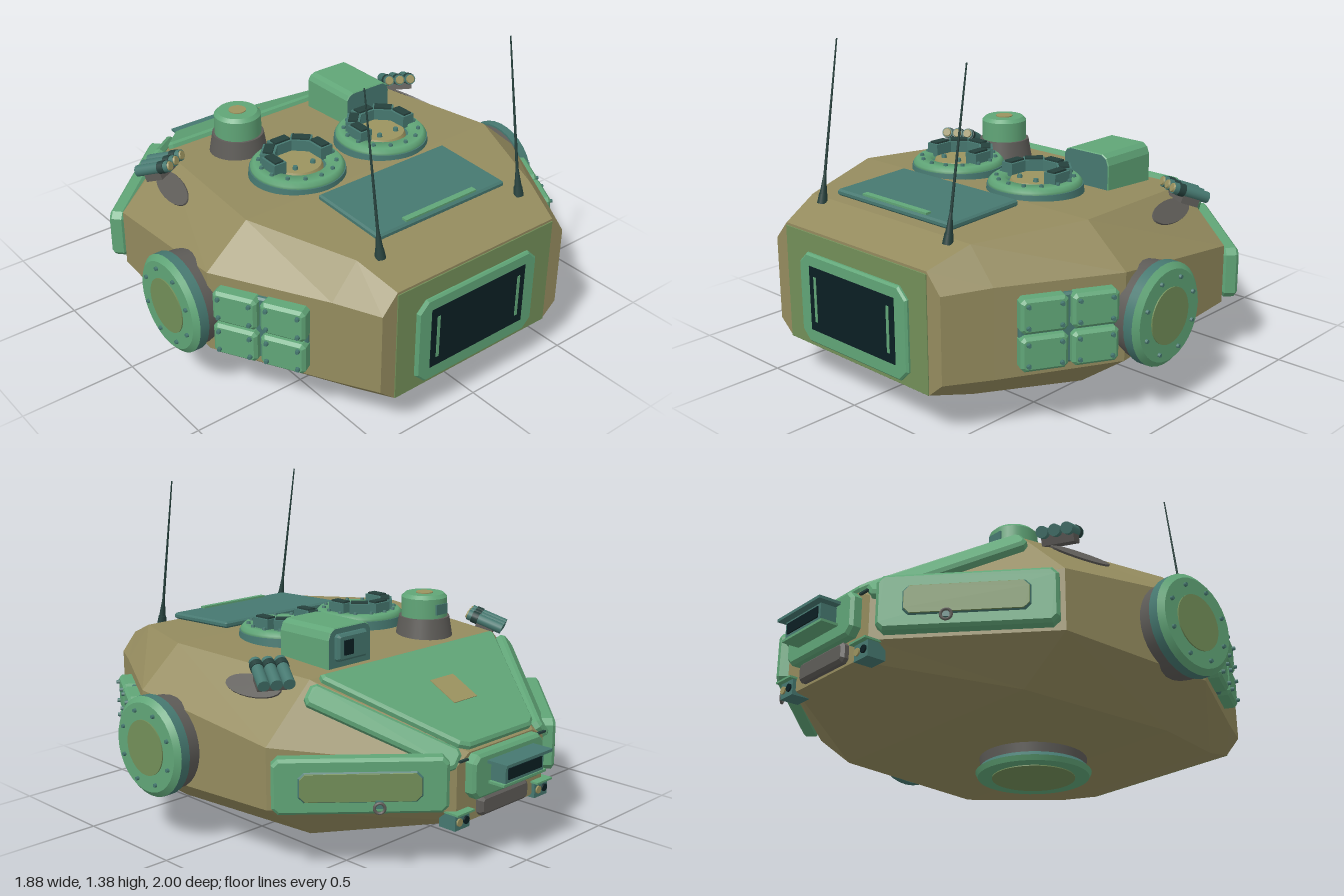
import * as THREE from 'three';

const mat = (name, color) => {
  const m = new THREE.MeshStandardMaterial({ color });
  m.name = name;
  return m;
};

export function createModel() {
  const root = new THREE.Group();
  root.name = 'turret';
  const tan = mat('tan', 0x948b5e), green = mat('green', 0x60a577), teal = mat('teal', 0x467870);
  const grey = mat('grey', 0x5e5c58), black = mat('black', 0x0b1f23), olive = mat('olive', 0x728e58);
  const ochre = mat('ochre', 0x9b935f), dark = mat('darkGreen', 0x25403c);
  const V = (x, y, z) => new THREE.Vector3(x, y, z);

  // A group whose local z is the surface normal and local y follows "up"
  function frame(name, pos, normal, up = V(0, 1, 0), parent = root) {
    const n = normal.clone().normalize();
    const x = up.clone().cross(n).normalize();
    const g = new THREE.Group();
    g.quaternion.setFromRotationMatrix(new THREE.Matrix4().makeBasis(x, n.clone().cross(x), n));
    g.position.copy(pos);
    g.name = name;
    parent.add(g);
    return g;
  }
  function add(parent, name, geo, material, x = 0, y = 0, z = 0) {
    const m = new THREE.Mesh(geo, material);
    m.name = name;
    m.position.set(x, y, z);
    parent.add(m);
    return m;
  }
  // Bevelled plate from an outline, back at z = 0 and front at z = t
  function slabGeo(pts, t, b = Math.min(0.012, t * 0.4)) {
    return new THREE.ExtrudeGeometry(new THREE.Shape(pts.map(p => new THREE.Vector2(...p))), {
      depth: t - b, bevelThickness: b, bevelSize: b, bevelOffset: -b, bevelSegments: 1
    });
  }
  function rect(w, h, c) {
    const x = w / 2, y = h / 2;
    return [[x - c, -y], [x, c - y], [x, y - c], [x - c, y], [c - x, y], [-x, y - c], [-x, c - y], [c - x, -y]];
  }
  const slab = (p, name, w, h, t, c, m, x, y, z) => add(p, name, slabGeo(rect(w, h, c), t), m, x, y, z);
  const box = (p, name, w, h, d, m, x, y, z) => add(p, name, new THREE.BoxGeometry(w, h, d), m, x, y, z);
  // Cylinder along local z, from z0 to z1
  function cyl(p, name, r0, r1, z0, z1, m, x = 0, y = 0, seg = 32) {
    const g = new THREE.CylinderGeometry(r1, r0, z1 - z0, seg).rotateX(Math.PI / 2);
    return add(p, name, g, m, x, y, (z0 + z1) / 2);
  }
  function boltRing(p, r, z, n, m) {
    for (let i = 0; i < n; i++) {
      const a = (i + 0.5) / n * Math.PI * 2;
      cyl(p, 'bolt', 0.01, 0.008, z, z + 0.012, m, r * Math.cos(a), r * Math.sin(a), 6);
    }
  }

  // Hull: octagonal sections from front to rear
  // [z, top half-width, top y, side half-width, side top y, side bottom y, bottom half-width, bottom y]
  const sections = [
    [0.975, 0.41, 0.66, 0.48, 0.58, 0.23, 0.41, 0.17],
    [0.8, 0.46, 0.73, 0.576, 0.59, 0.225, 0.46, 0.13],
    [0.35, 0.64, 0.755, 0.83, 0.59, 0.23, 0.62, 0.08],
    [-0.36, 0.56, 0.72, 0.79, 0.5, 0.25, 0.56, 0.09],
    [-0.86, 0.2, 0.46, 0.27, 0.42, 0.24, 0.2, 0.18]
  ].map(([z, t, yt, m, ym, yb, b, y0]) => [
    [t, yt, z], [-t, yt, z], [-m, ym, z], [-m, yb, z], [-b, y0, z], [b, y0, z], [m, yb, z], [m, ym, z]]);
  const pos = [];
  const tri = (...v) => v.forEach(p => pos.push(...p));
  for (let k = 0; k < sections.length - 1; k++) {
    const A = sections[k], B = sections[k + 1];
    for (let i = 0; i < 8; i++) {
      const j = (i + 1) % 8;
      tri(A[i], B[i], A[j]);
      tri(A[j], B[i], B[j]);
    }
  }
  const F = sections[0], R = sections[4];
  for (let i = 1; i < 7; i++) {
    tri(F[0], F[i], F[i + 1]);
    tri(R[0], R[i + 1], R[i]);
  }
  const hullGeo = new THREE.BufferGeometry();
  hullGeo.setAttribute('position', new THREE.Float32BufferAttribute(pos, 3));
  hullGeo.computeVertexNormals();
  add(root, 'hull', hullGeo, tan);

  // Front mantlet opening
  const front = frame('frontPlate', V(0, 0, 0.975), V(0, 0, 1));
  add(front, 'frontPaint', slabGeo([[-0.41, 0.17], [0.41, 0.17], [0.41, 0.65], [-0.41, 0.65]], 0.004, 0.001), olive);
  slab(front, 'gunFrame', 0.63, 0.38, 0.02, 0.045, green, 0, 0.38, 0);
  box(front, 'gunOpening', 0.5, 0.27, 0.005, black, 0, 0.385, 0.02);
  for (const s of [-1, 1]) box(front, 'openingBar', 0.014, 0.19, 0.006, green, s * 0.215, 0.385, 0.022);

  // Turret ring underneath
  const up = V(0, 1, 0), back = V(0, 0, -1);
  const ring = frame('turretRing', V(0, 0, 0.195), up, back);
  cyl(ring, 'ringNeck', 0.22, 0.23, 0.03, 0.1, grey, 0, 0, 48);
  cyl(ring, 'ringFlange', 0.235, 0.245, 0.004, 0.025, green, 0, 0, 48);
  cyl(ring, 'ringLip', 0.242, 0.225, 0.025, 0.045, teal, 0, 0, 48);
  cyl(ring, 'ringFloor', 0.175, 0.175, 0, 0.006, olive, 0, 0, 48);

  for (const s of [-1, 1]) {
    // Side drums
    const drum = frame('sideDrum', V(s * 0.82, 0.4, 0.205), V(s, 0, 0));
    cyl(drum, 'drumBase', 0.19, 0.2, -0.06, 0.065, grey);
    cyl(drum, 'drumRim', 0.208, 0.208, 0.05, 0.09, teal);
    cyl(drum, 'drumFace', 0.208, 0.185, 0.09, 0.11, green);
    cyl(drum, 'drumCentre', 0.115, 0.115, 0.1, 0.115, olive);
    boltRing(drum, 0.155, 0.108, 8, teal);

    // Two by two armour boxes on the front flank
    const flank = frame('armourBoxes', V(s * 0.714, 0.405, 0.555), V(s * 0.871, 0, 0.492));
    slab(flank, 'boxMount', 0.38, 0.28, 0.02, 0.02, teal);
    for (const x of [-0.1, 0.1]) for (const y of [-0.075, 0.075]) {
      slab(flank, 'armourBox', 0.185, 0.138, 0.055, 0.015, green, x, y, 0);
      for (const i of [-1, 1]) for (const j of [-1, 1])
        cyl(flank, 'boxBolt', 0.01, 0.008, 0.054, 0.068, teal, x + i * 0.065, y + j * 0.042, 6);
    }

    // Rear flank stowage panel with a tow ring
    const side = frame('rearFlankPanel', V(s * 0.542, 0.365, -0.612), V(s * 0.678, 0, -0.735));
    slab(side, 'panel', 0.67, 0.22, 0.055, 0.025, green);
    slab(side, 'panelRim', 0.48, 0.13, 0.062, 0.025, teal);
    add(side, 'panelInset', slabGeo(rect(0.46, 0.11, 0.022), 0.008, 0.001), olive, 0, 0, 0.058);
    box(side, 'ringMount', 0.03, 0.03, 0.03, teal, s * 0.07, -0.065, 0.06);
    add(side, 'towRing', new THREE.TorusGeometry(0.02, 0.006, 6, 16), grey, s * 0.07, -0.075, 0.082);

    // Strip along the rear shoulder
    const shoulder = frame('rearShoulder', V(s * 0.425, 0.55, -0.615), V(s * 0.492, 0.573, -0.653), V(s * 0.36, 0.26, 0.5));
    slab(shoulder, 'shoulderStrip', 0.095, 0.63, 0.035, 0.02, green);

    // Smoke launchers over a grey patch
    const patch = frame('greyPatch', V(s * 0.663, 0.674, -0.15), V(s * 0.7, 0.7, -0.1));
    add(patch, 'patch', new THREE.CylinderGeometry(1, 1, 0.008, 20).rotateX(Math.PI / 2).scale(0.14, 0.05, 1), grey);
    const rack = frame('smokeLauncher', V(s * 0.655, 0.745, -0.25), V(-s * 0.45, 0.35, 0.82));
    box(rack, 'rackBase', 0.13, 0.04, 0.08, grey, 0, -0.03, -0.01);
    for (const i of [-1, 0, 1]) {
      cyl(rack, 'launchTube', 0.024, 0.024, -0.085, 0.08, teal, i * 0.05, 0, 16);
      cyl(rack, 'tubeCollar', 0.027, 0.027, 0.03, 0.06, dark, i * 0.05, 0, 16);
      cyl(rack, 'tubeCap', 0.02, 0.017, 0.08, 0.087, ochre, i * 0.05, 0, 16);
    }

    // Whip antenna, leaning back
    const whip = frame('antenna', V(s * 0.367, 0.715, 0.825), V(0, 0.66, -0.11), back);
    cyl(whip, 'antennaBase', 0.022, 0.017, 0, 0.04, dark, 0, 0, 12);
    cyl(whip, 'antennaSpring', 0.015, 0.006, 0.04, 0.12, dark, 0, 0, 12);
    cyl(whip, 'antennaRod', 0.006, 0.003, 0.12, 0.67, dark, 0, 0, 8);

    // Rear lamps under the tail
    const lamp = frame('rearLamp', V(s * 0.25, 0.2, -0.8), back);
    box(lamp, 'lampBox', 0.085, 0.065, 0.08, teal, 0, 0, 0.035);
    box(lamp, 'lampHood', 0.1, 0.008, 0.11, green, 0, 0.036, 0.04);
    for (const i of [-1, 1]) cyl(lamp, 'lampLens', 0.016, 0.016, 0.07, 0.082, i < 0 ? ochre : black, i * 0.02, 0, 12);

    // Tail guard bars
    box(root, 'tailBar', 0.05, 0.008, 0.012, dark, s * 0.245, 0.44, -0.87);
  }

  // Rear deck plate
  const deck = frame('rearDeck', V(0, 0.59, -0.61), V(0, 0.887, -0.461));
  add(deck, 'deckPlate', slabGeo([[-0.19, -0.27], [0.19, -0.27], [0.23, -0.245], [0.525, 0.25], [0.515, 0.275],
    [-0.515, 0.275], [-0.525, 0.25], [-0.23, -0.245]], 0.028), green);
  box(deck, 'deckPatch', 0.14, 0.145, 0.006, ochre, 0, 0.015, 0.028);

  // Tail plate and lamp housing
  const tail = frame('tail', V(0, 0.36, -0.855), back);
  slab(tail, 'tailPlate', 0.44, 0.18, 0.05, 0.03, green, 0, 0.005, 0);
  slab(tail, 'tailSkirt', 0.3, 0.08, 0.035, 0.015, grey, 0, -0.13, 0);
  box(tail, 'housing', 0.24, 0.07, 0.08, teal, 0, 0.015, 0.08);
  box(tail, 'housingHood', 0.29, 0.012, 0.1, teal, 0, 0.06, 0.095);
  box(tail, 'housingSill', 0.27, 0.01, 0.08, green, 0, -0.025, 0.085);
  box(tail, 'housingWindow', 0.21, 0.045, 0.006, black, 0, 0.017, 0.122);

  // Engine cover on the front roof
  const cover = frame('roofCover', V(0, 0.757, 0.59), V(0, 1, 0.035), back);
  slab(cover, 'coverPlate', 0.665, 0.365, 0.02, 0.004, teal);
  box(cover, 'coverBar', 0.37, 0.026, 0.014, green, 0, -0.16, 0.022);

  // Crew hatches with periscopes round the rear half
  for (const x of [-0.25, 0.2]) {
    const hatch = frame('hatch', V(x, 0.74, 0.165), up, back);
    cyl(hatch, 'hatchBase', 0.205, 0.2, -0.01, 0.035, teal, 0, 0, 40);
    const prof = [[0.115, 0.02], [0.195, 0.02], [0.195, 0.045], [0.18, 0.06], [0.125, 0.06], [0.115, 0.02]];
    add(hatch, 'hatchRing', new THREE.LatheGeometry(prof.map(p => new THREE.Vector2(...p)), 40).rotateX(Math.PI / 2), green);
    cyl(hatch, 'hatchLid', 0.115, 0.1, 0.02, 0.055, ochre, 0, 0, 24);
    boltRing(hatch, 0.16, 0.058, 14, teal);
    for (let i = -2; i <= 2; i++) {
      const scope = new THREE.Group();
      scope.name = 'periscope';
      scope.rotation.z = i * 0.78;
      hatch.add(scope);
      box(scope, 'periscopeBody', 0.09, 0.06, 0.055, teal, 0, 0.118, 0.075);
      box(scope, 'periscopeCap', 0.075, 0.04, 0.01, dark, 0, 0.118, 0.105);
    }
    for (const i of [-1, 1]) cyl(hatch, 'lidKnob', 0.013, 0.01, 0.05, 0.068, teal, i * 0.045, -0.045, 10);
  }

  // Round panoramic sight
  const sight = frame('roundSight', V(-0.305, 0.72, -0.18), up, back);
  cyl(sight, 'sightBase', 0.125, 0.11, 0, 0.09, grey);
  cyl(sight, 'sightDrum', 0.1, 0.1, 0.09, 0.175, green);
  cyl(sight, 'sightTop', 0.1, 0.085, 0.175, 0.19, green);
  cyl(sight, 'sightDisc', 0.037, 0.037, 0.185, 0.194, ochre);
  box(sight, 'sightWindow', 0.07, 0.008, 0.045, teal, 0, 0.1, 0.13);

  // Box sight with a rounded top
  const outline = [[-0.12, 0], [0.12, 0], [0.12, 0.12], [0.108, 0.15], [0.085, 0.165], [-0.085, 0.165], [-0.108, 0.155], [-0.12, 0.135]];
  const boxSight = frame('boxSight', V(0.3, 0.72, -0.315), V(0, 0, 1));
  add(boxSight, 'sightHousing', slabGeo(outline, 0.275, 0.004), [teal, green]);
  slab(boxSight, 'sightDoor', 0.17, 0.11, 0.025, 0.01, teal, 0, 0.085, -0.018);
  box(boxSight, 'doorWindow', 0.05, 0.06, 0.006, black, 0.03, 0.085, -0.03);
  return root;
}
